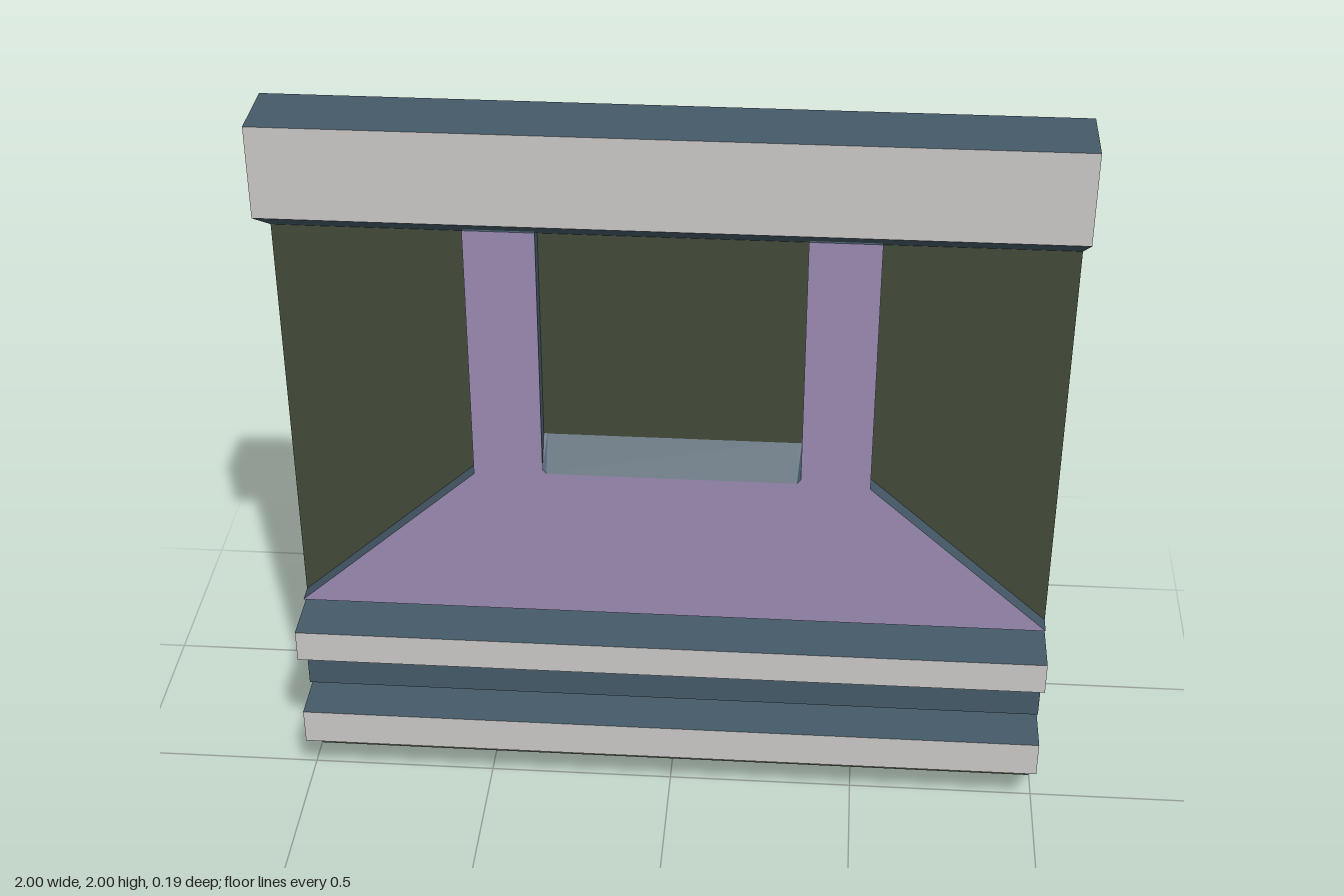
import * as THREE from 'three';

const mat = (name, color) => new THREE.MeshStandardMaterial({ name, color, side: THREE.DoubleSide });

// Flat-shaded mesh from a list of four-cornered faces (counter-clockwise from outside)
function quadMesh(name, quads, material) {
  const pos = [];
  for (const [a, b, c, d] of quads) pos.push(...a, ...b, ...c, ...a, ...c, ...d);
  const g = new THREE.BufferGeometry();
  g.setAttribute('position', new THREE.Float32BufferAttribute(pos, 3));
  g.computeVertexNormals();
  const m = new THREE.Mesh(g, material);
  m.name = name;
  return m;
}

export function createModel() {
  const slate = mat('slateTrim', 0x465a69);
  const pale = mat('paleStone', 0xcbc7c7);
  const olive = mat('oliveWall', 0x424a3a);
  const lilac = mat('lilacPanel', 0x998ab2);
  const grey = mat('greyBacking', 0x3e3d48);

  const model = new THREE.Group();
  model.name = 'wallPanel';

  // Thin wall sheet that shows between and behind the trims
  const wall = new THREE.Mesh(new THREE.PlaneGeometry(2, 2), olive);
  wall.name = 'wallSheet';
  wall.position.set(0, 1, -0.08);
  model.add(wall);

  // Horizontal trim, open at the back; the underside may slope down to the rear
  function trim(name, top, frontLow, backLow, zf, zb, faceMaterial) {
    const p = (x, y, z) => [x, y, z];
    const group = new THREE.Group();
    group.name = name;
    group.add(quadMesh(name + 'Face',
      [[p(-1, frontLow, zf), p(1, frontLow, zf), p(1, top, zf), p(-1, top, zf)]], faceMaterial));
    group.add(quadMesh(name + 'Sides', [
      [p(-1, top, zf), p(1, top, zf), p(1, top, zb), p(-1, top, zb)],
      [p(-1, backLow, zb), p(1, backLow, zb), p(1, frontLow, zf), p(-1, frontLow, zf)],
      [p(1, frontLow, zf), p(1, backLow, zb), p(1, top, zb), p(1, top, zf)],
      [p(-1, backLow, zb), p(-1, frontLow, zf), p(-1, top, zf), p(-1, top, zb)],
    ], slate));
    model.add(group);
  }
  trim('topBeam', 2, 1.76, 1.645, 0.095, -0.095, pale);
  trim('upperRail', 0.52, 0.43, 0.43, 0.095, -0.095, pale);
  trim('middleRail', 0.395, 0.272, 0.272, -0.01, -0.085, slate);
  trim('baseBeam', 0.25, 0.15, 0.01, 0.095, -0.095, pale);

  // Raised panel with two posts: x, front y, back y (the sill slopes up to the rear)
  const half = [
    [1, 0.54, 0.54], [0.515, 0.97, 0.97], [0.515, 1.68, 1.68], [0.335, 1.68, 1.68],
    [0.335, 0.99, 1.08], [0.325, 0.978, 1.08],
  ];
  const outline = [...half, ...half.map(([x, f, b]) => [-x, f, b]).reverse()];
  const zf = -0.03, zb = -0.085;

  const shape = new THREE.Shape(outline.map(([x, y]) => new THREE.Vector2(x, y)));
  const face = new THREE.Mesh(new THREE.ShapeGeometry(shape), lilac);
  face.name = 'raisedPanelFace';
  face.position.z = zf;
  model.add(face);

  model.add(quadMesh('raisedPanelSides', outline.map((a, i) => {
    const b = outline[(i + 1) % outline.length];
    return [[a[0], a[2], zb], [b[0], b[2], zb], [b[0], b[1], zf], [a[0], a[1], zf]];
  }), slate));

  // Backs of the two posts, showing behind the wall sheet
  for (const s of [1, -1]) {
    const corners = [[0.515 * s, 0.97, zb], [0.335 * s, 1.08, zb], [0.335 * s, 1.68, zb], [0.515 * s, 1.68, zb]];
    if (s < 0) corners.reverse();
    model.add(quadMesh(s > 0 ? 'leftPostBack' : 'rightPostBack', [corners], grey));
  }
  return model;
}
